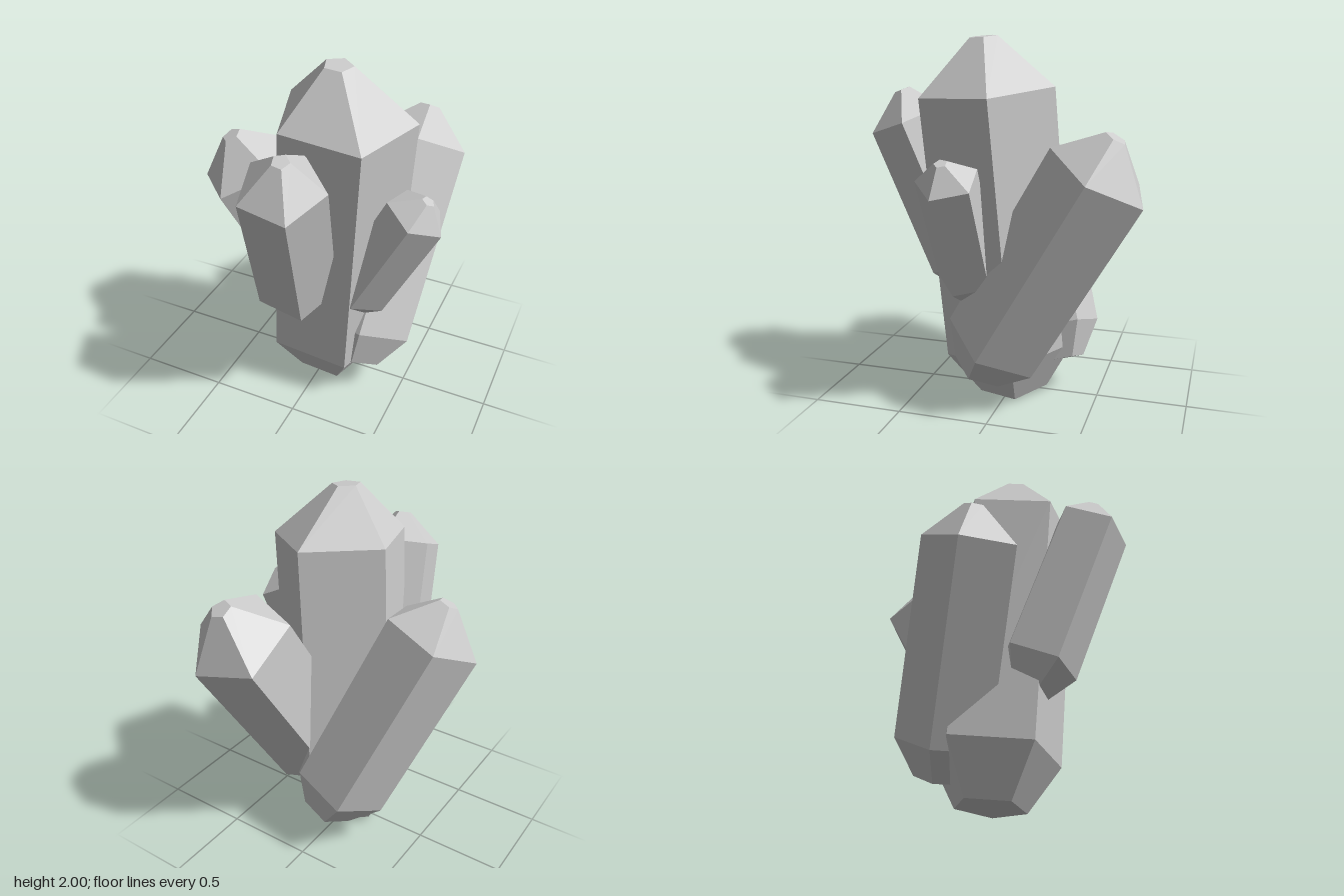
import * as THREE from 'three';

const SIDES = 5;

// Each crystal: centres of its four cross-sections (base, lower, upper, tip),
// their radii, and the direction from the axis towards one corner.
const CRYSTALS = [
  { name: 'mainCrystal',
    centres: [[0.01, 0.02, -0.01], [0.025, 0.29, 0.01], [0.134, 1.72, 0.102], [0.11, 1.995, 0.126]],
    radii: [0.2, 0.37, 0.37, 0.077], corner: [0, 0, -1] },
  { name: 'leftBackCrystal', mirrorHint: false,
    centres: [[-0.02, 0.187, -0.273], [-0.087, 0.356, -0.22], [-0.457, 1.306, 0.08], [-0.52, 1.49, 0.115]],
    radii: [0.146, 0.27, 0.27, 0.055], corner: [-0.248, -0.106, 0.03] },
  { name: 'rearCrystal',
    centres: [[0.224, 0.19, 0.127], [0.238, 0.36, 0.026], [0.318, 1.33, -0.544], [0.35, 1.52, -0.62]],
    radii: [0.155, 0.285, 0.285, 0.058], corner: [0.282, -0.01, 0.024] },
  { name: 'frontCrystal',
    centres: [[-0.075, 0.59, 0.23], [-0.058, 0.74, 0.287], [0.032, 1.55, 0.592], [0.05, 1.71, 0.62]],
    radii: [0.12, 0.223, 0.223, 0.046], corner: [0.108, -0.08, 0.173] },
  { name: 'sideCrystal',
    centres: [[0.216, 0.63, 0.17], [0.27, 0.735, 0.17], [0.56, 1.305, 0.172], [0.617, 1.4, 0.18]],
    radii: [0.09, 0.166, 0.166, 0.035], corner: [0.145, -0.074, 0.038] },
].map(({ name, centres, radii, corner }) => ({ name, centres, radii, corner }));

// Lofts pentagons set square to the crystal's axis and closes both ends.
function crystalGeometry({ centres, radii, corner }) {
  const c = centres.map((p) => new THREE.Vector3(...p));
  const axis = c[2].clone().sub(c[1]).normalize();
  const u = new THREE.Vector3(...corner).projectOnPlane(axis).normalize();
  const v = axis.clone().cross(u);

  const positions = [];
  c.forEach((centre, k) => {
    for (let i = 0; i < SIDES; i++) {
      const a = (i / SIDES) * Math.PI * 2;
      const p = centre.clone()
        .addScaledVector(u, Math.cos(a) * radii[k])
        .addScaledVector(v, Math.sin(a) * radii[k]);
      positions.push(p.x, p.y, p.z);
    }
  });

  const index = [];
  for (let k = 0; k < c.length - 1; k++) {
    for (let i = 0; i < SIDES; i++) {
      const a = k * SIDES + i;
      const b = k * SIDES + ((i + 1) % SIDES);
      index.push(a, b, b + SIDES, a, b + SIDES, a + SIDES);
    }
  }
  const top = (c.length - 1) * SIDES;
  for (let i = 1; i < SIDES - 1; i++) {
    index.push(0, i + 1, i, top, top + i, top + i + 1);
  }

  const geometry = new THREE.BufferGeometry();
  geometry.setAttribute('position', new THREE.Float32BufferAttribute(positions, 3));
  geometry.setIndex(index);
  const flat = geometry.toNonIndexed();
  flat.computeVertexNormals();
  return flat;
}

export function createModel() {
  const group = new THREE.Group();
  group.name = 'crystalCluster';
  const material = new THREE.MeshStandardMaterial({ color: 0xcccccc, flatShading: true });
  for (const crystal of CRYSTALS) {
    const mesh = new THREE.Mesh(crystalGeometry(crystal), material);
    mesh.name = crystal.name;
    group.add(mesh);
  }
  return group;
}
